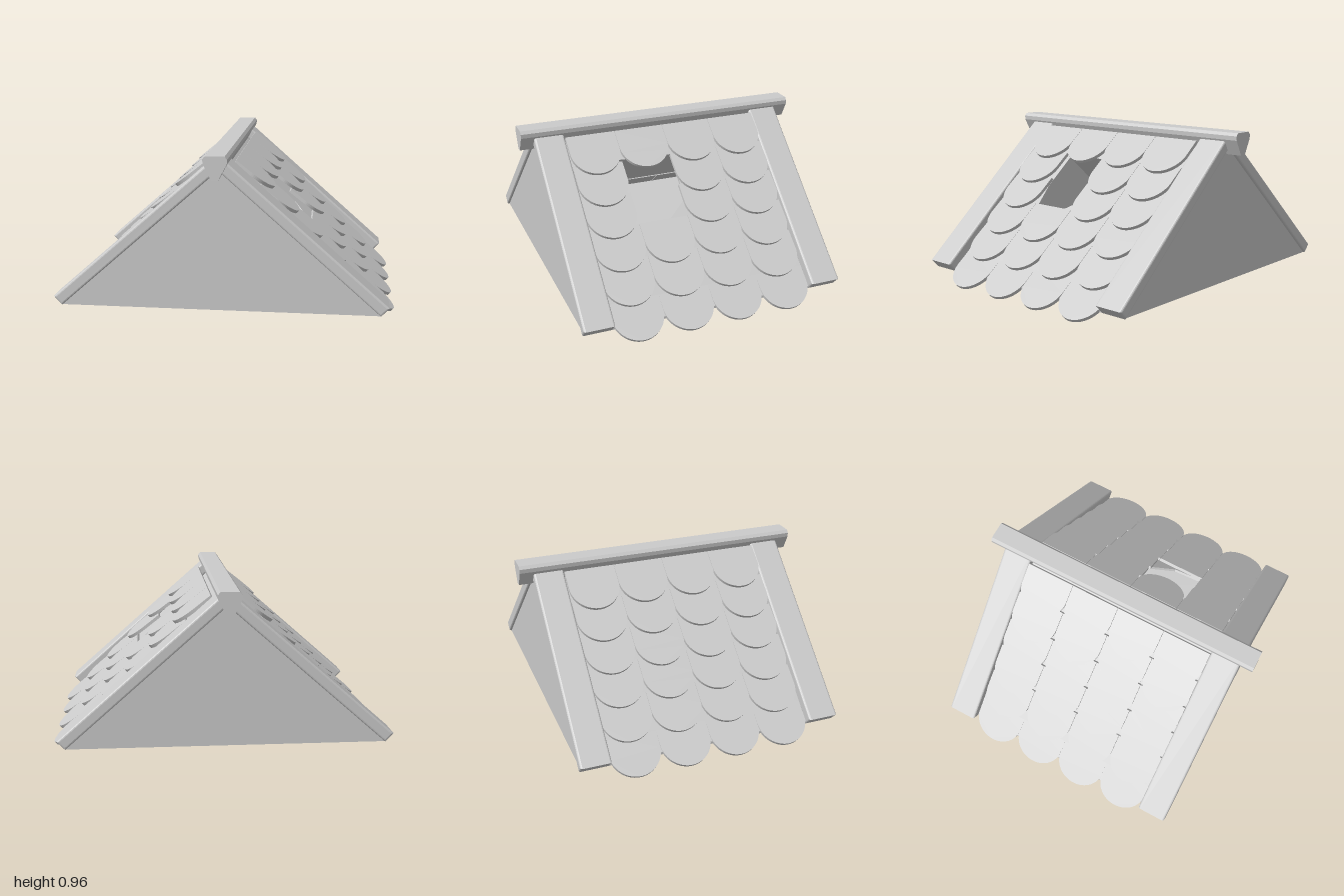
import * as THREE from 'three';

const material = new THREE.MeshStandardMaterial({ color: 0xcccccc });

function shapeFrom(points) {
  return new THREE.Shape(points.map(([x, y]) => new THREE.Vector2(x, y)));
}

function addMesh(parent, geometry, name) {
  const mesh = new THREE.Mesh(geometry, material);
  mesh.name = name;
  parent.add(mesh);
  return mesh;
}

// Extrude a front-facing profile between two z positions
function prism(points, z0, z1, bevel = 0) {
  const geometry = new THREE.ExtrudeGeometry(shapeFrom(points), {
    depth: z1 - z0 - 2 * bevel,
    bevelEnabled: bevel > 0,
    bevelThickness: bevel,
    bevelSize: bevel,
    bevelOffset: -bevel,
    bevelSegments: 3,
  });
  return geometry.translate(0, 0, z0 + bevel);
}

// Lay a flat shape (x down the slope, y towards -z) on the right slope
function layOnSlope(geometry, angle, x, y, z) {
  const c = Math.cos(angle), s = Math.sin(angle);
  const matrix = new THREE.Matrix4().makeBasis(
    new THREE.Vector3(c, -s, 0),
    new THREE.Vector3(0, 0, -1),
    new THREE.Vector3(s, c, 0),
  );
  return geometry.applyMatrix4(matrix.setPosition(x, y, z));
}

// Rounded tile with its tip at the origin and its tail up the slope
function tileGeometry(width, length, thickness) {
  const r = width / 2;
  const shape = new THREE.Shape();
  shape.moveTo(-length, -r);
  shape.lineTo(-r, -r);
  shape.absarc(-r, 0, r, -Math.PI / 2, Math.PI / 2, false);
  shape.lineTo(-length, r);
  shape.closePath();
  return new THREE.ExtrudeGeometry(shape, { depth: thickness, bevelEnabled: false, curveSegments: 20 })
    .translate(0, 0, -thickness);
}

// One roof slope: a sheet with overlapping rows of tiles
function buildSlope(broken) {
  const slope = new THREE.Group();
  const top = [0, 0.868], bottom = [0.91, 0.08];
  const pitch = Math.atan2(top[1] - bottom[1], bottom[0] - top[0]);
  const length = Math.hypot(top[1] - bottom[1], bottom[0] - top[0]);
  const sheet = shapeFrom([[0, -0.775], [length, -0.775], [length, 0.775], [0, 0.775]]);
  if (broken) {
    const corners = [[0.16, -0.03], [0.39, -0.03], [0.49, 0.12], [0.505, 0.31], [0.36, 0.34], [0.15, 0.33]];
    sheet.holes.push(new THREE.Path(corners.map(
      ([x, z]) => new THREE.Vector2((x - top[0]) / Math.cos(pitch), -z))));
  }
  const sheetGeometry = new THREE.ExtrudeGeometry(sheet, { depth: 0.015, bevelEnabled: false })
    .translate(0, 0, -0.015);
  addMesh(slope, layOnSlope(sheetGeometry, pitch, top[0], top[1], 0), 'roofSheet');

  const pitchOfTiles = THREE.MathUtils.degToRad(38.2);
  for (let row = 0; row < 6; row++) {
    for (let column = 0; column < 4; column++) {
      // Two tiles are missing over the hole
      if (broken && column === 2 && (row === 3 || row === 4)) continue;
      const tile = layOnSlope(tileGeometry(0.304, 0.272, 0.02), pitchOfTiles,
        1 - 0.141 * row, 0.017 + 0.143 * row, (column - 1.5) * 0.306);
      addMesh(slope, tile, 'roofTile');
    }
  }
  return slope;
}

export function createModel() {
  const model = new THREE.Group();
  model.name = 'tiledRoof';

  // Slopes, the right one broken open
  const right = buildSlope(true);
  right.name = 'rightSlope';
  const left = buildSlope(false);
  left.name = 'leftSlope';
  left.rotation.y = Math.PI;
  model.add(right, left);

  // Verge boards and gable walls at both ends
  const chevron = [[0.957, 0.115], [0, 0.958], [-0.957, 0.115], [-0.91, 0.065], [0, 0.868], [0.91, 0.065]];
  const triangle = [[0.91, 0.066], [0, 0.868], [-0.91, 0.066]];
  for (const end of [1, -1]) {
    const board = addMesh(model, prism(chevron, 0.612, 0.793, 0.012), 'vergeBoard');
    const gable = addMesh(model, prism(triangle, 0.75, 0.777), 'gableWall');
    if (end < 0) board.rotation.y = gable.rotation.y = Math.PI;
  }

  // Floor with a ragged hole
  const floor = shapeFrom([[-0.91, -0.775], [0.91, -0.775], [0.91, 0.775], [-0.91, 0.775]]);
  const hole = [[0.335, 0.09], [0.34, -0.08], [0.32, -0.26], [0.15, -0.29], [0, -0.11], [0.02, 0.09], [0.27, 0.08]];
  floor.holes.push(new THREE.Path(hole.map(([x, z]) => new THREE.Vector2(x, -z))));
  const floorGeometry = new THREE.ExtrudeGeometry(floor, { depth: 0.015, bevelEnabled: false })
    .rotateX(-Math.PI / 2).translate(0, 0.065, 0);
  addMesh(model, floorGeometry, 'floor');

  // Ridge beam
  const ridge = [[-0.025, 0.83], [0.012, 0.83], [0.06, 0.92], [0.062, 0.945], [0.048, 0.962],
    [-0.058, 0.962], [-0.073, 0.945], [-0.071, 0.92]];
  addMesh(model, prism(ridge, -0.877, 0.873), 'ridgeBeam');

  return model;
}
